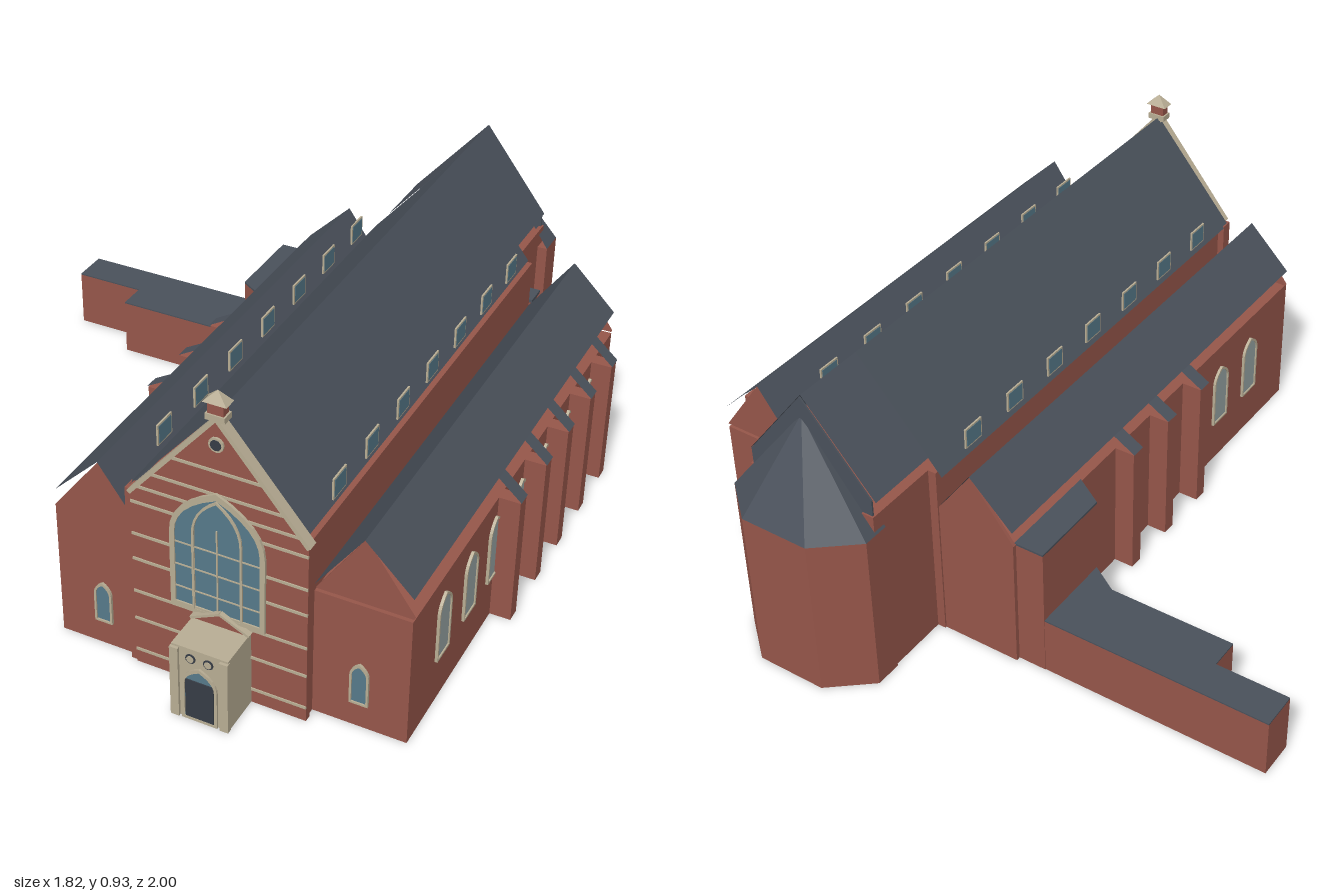
import * as THREE from 'three';

const mat = (color) => new THREE.MeshStandardMaterial({ color, flatShading: true, side: THREE.DoubleSide });
const BRICK = mat(0x96564a), SLATE = mat(0x4a515b), STONE = mat(0xb8ad94);
const GLASS = mat(0x56798a), PALE = mat(0x96a3a3), DOOR = mat(0x363c45);

export function createModel() {
  const root = new THREE.Group();

  const add = (name, geo, material, parent = root) => {
    const m = new THREE.Mesh(geo, material);
    m.name = name;
    parent.add(m);
    return m;
  };
  const box = (name, x0, x1, y0, y1, z0, z1, material, parent = root) => {
    const m = add(name, new THREE.BoxGeometry(x1 - x0, y1 - y0, z1 - z0), material, parent);
    m.position.set((x0 + x1) / 2, (y0 + y1) / 2, (z0 + z1) / 2);
    return m;
  };
  const toShape = (pts) => new THREE.Shape(pts.map(([a, b]) => new THREE.Vector2(a, b)));
  const extrude = (shape, depth) => new THREE.ExtrudeGeometry(shape, { depth, bevelEnabled: false, curveSegments: 6 });
  // Slab with an outline in x, y
  const panel = (name, pts, z0, z1, material) => {
    const m = add(name, extrude(toShape(pts), z1 - z0), material);
    m.position.z = z0;
    return m;
  };
  // Block with a plan outline in x, z
  const block = (name, pts, y0, y1, material) => {
    const m = add(name, extrude(toShape(pts.map(([x, z]) => [x, -z])), y1 - y0), material);
    m.rotation.x = -Math.PI / 2;
    m.position.y = y0;
    return m;
  };
  const triangles = (points) => {
    const g = new THREE.BufferGeometry();
    g.setAttribute('position', new THREE.Float32BufferAttribute(points.flat(), 3));
    g.computeVertexNormals();
    return g;
  };
  // Thin roof sheet following an x, y profile from z0 to z1
  const sheet = (name, profile, z0, z1) => {
    const v = [];
    for (let i = 0; i + 1 < profile.length; i++) {
      const [a, b] = [profile[i], profile[i + 1]];
      v.push([...a, z0], [...a, z1], [...b, z1], [...a, z0], [...b, z1], [...b, z0]);
    }
    return add(name, triangles(v), SLATE);
  };
  const bar = (name, a, b, w, z, depth, material) => {
    const len = Math.hypot(b[0] - a[0], b[1] - a[1]);
    const m = add(name, new THREE.BoxGeometry(len, w, depth), material);
    m.position.set((a[0] + b[0]) / 2, (a[1] + b[1]) / 2, z);
    m.rotation.z = Math.atan2(b[1] - a[1], b[0] - a[0]);
  };

  // Pointed arch: w wide, h tall, curves starting at spring
  const arch = (w, h, spring, inset = 0) => {
    const s = new THREE.Shape(), r = w / 2 - inset, top = h - inset * 1.4;
    s.moveTo(-r, inset);
    s.lineTo(r, inset);
    s.lineTo(r, spring);
    s.quadraticCurveTo(r, spring + (top - spring) * 0.62, 0, top);
    s.quadraticCurveTo(-r, spring + (top - spring) * 0.62, -r, spring);
    s.closePath();
    return s;
  };
  const archWindow = (name, w, h, spring, t, glass, pos, ry = 0) => {
    const g = new THREE.Group();
    g.name = name;
    const frame = arch(w, h, spring);
    frame.holes.push(arch(w, h, spring, t));
    add('windowFrame', extrude(frame, 0.008), STONE, g);
    if (glass) add('windowGlass', extrude(arch(w, h, spring, t), 0.004), glass, g);
    g.position.set(...pos);
    g.rotation.y = ry;
    root.add(g);
  };

  // Nave walls and stepped eaves
  box('naveWalls', 0.1, 0.585, 0, 0.555, -0.63, 0.85, BRICK);
  box('choirWalls', 0.125, 0.535, 0, 0.555, -0.86, -0.63, BRICK);
  sheet('naveRoof', [[0.08, 0.55], [0.34, 0.853], [0.572, 0.56]], -0.63, 0.855);
  sheet('choirRoof', [[0.12, 0.6], [0.34, 0.853], [0.537, 0.6]], -0.85, -0.63);
  panel('choirGable', [[0.13, 0.555], [0.53, 0.555], [0.53, 0.605], [0.34, 0.85], [0.13, 0.605]], -0.855, -0.85, SLATE);
  box('choirButtress', 0.53, 0.59, 0, 0.42, -0.69, -0.63, BRICK);
  box('choirButtressCap', 0.53, 0.595, 0.42, 0.43, -0.695, -0.63, SLATE);

  // Polygonal apse
  const plan = [[0.12, -0.82], [0.12, -0.9], [0.24, -1], [0.45, -1], [0.565, -0.9], [0.565, -0.82]];
  block('apseWalls', plan, 0, 0.5, BRICK);
  const fan = [];
  for (let i = 0; i + 1 < plan.length; i++) {
    const [p, q] = [plan[i], plan[i + 1]];
    fan.push([p[0], 0.5, p[1]], [0.343, 0.79, -0.85], [q[0], 0.5, q[1]]);
  }
  add('apseRoof', triangles(fan), SLATE);

  // West front with stone bands
  panel('facade', [[0.1, 0], [0.59, 0], [0.59, 0.555], [0.345, 0.85], [0.1, 0.555]], 0.85, 0.87, BRICK);
  box('facadePier', 0.08, 0.1, 0, 0.555, 0.83, 0.865, BRICK);
  for (const y of [0.045, 0.15, 0.24, 0.345, 0.425, 0.525, 0.575, 0.625, 0.695]) {
    const half = y < 0.555 ? 0.245 : 0.245 * (0.85 - y) / 0.295;
    box('stoneBand', 0.345 - half, 0.345 + half, y - 0.004, y + 0.004, 0.868, 0.873, STONE);
  }
  for (const s of [-1, 1]) bar('gableCoping', [0.345, 0.85], [0.345 + s * 0.248, 0.553], 0.012, 0.862, 0.03, STONE);

  // Great window with tracery, and the round window above
  archWindow('greatWindow', 0.265, 0.385, 0.23, 0.014, GLASS, [0.345, 0.248, 0.872]);
  archWindow('greatWindowTracery', 0.14, 0.36, 0.24, 0.006, null, [0.345, 0.25, 0.873]);
  for (const x of [0.28, 0.345, 0.41]) box('mullion', x - 0.002, x + 0.002, 0.26, 0.52, 0.874, 0.879, STONE);
  for (const y of [0.31, 0.38, 0.45]) box('transom', 0.225, 0.465, y - 0.002, y + 0.002, 0.874, 0.878, STONE);
  const disc = (name, r, x, y, z, material) => {
    const m = add(name, new THREE.CylinderGeometry(r, r, 0.008, 12), material);
    m.rotation.x = Math.PI / 2;
    m.position.set(x, y, z);
  };
  disc('roundWindowFrame', 0.021, 0.345, 0.775, 0.872, STONE);
  disc('roundWindowGlass', 0.015, 0.345, 0.775, 0.874, DOOR);

  // Ridge turret
  box('turretBase', 0.318, 0.372, 0.845, 0.862, 0.845, 0.88, STONE);
  box('turret', 0.323, 0.367, 0.86, 0.893, 0.85, 0.876, BRICK);
  const cap = add('turretCap', new THREE.ConeGeometry(0.046, 0.032, 4).rotateY(Math.PI / 4), STONE);
  cap.position.set(0.345, 0.909, 0.862);
  cap.scale.z = 0.6;

  // Porch
  box('porch', 0.275, 0.435, 0, 0.228, 0.87, 0.992, STONE);
  for (const x of [0.285, 0.425]) box('porchPier', x - 0.012, x + 0.012, 0, 0.222, 0.985, 1, STONE);
  panel('porchGable', [[0.275, 0.228], [0.435, 0.228], [0.355, 0.265]], 0.872, 0.885, BRICK);
  for (const x of [0.272, 0.438]) bar('porchCoping', [x, 0.23], [0.355, 0.27], 0.007, 0.88, 0.02, STONE);
  archWindow('doorArch', 0.1, 0.175, 0.115, 0.008, GLASS, [0.355, 0, 0.99]);
  box('door', 0.315, 0.395, 0, 0.13, 0.99, 0.997, DOOR);
  for (const x of [0.33, 0.38]) {
    disc('porchRoundelFrame', 0.014, x, 0.198, 0.991, DOOR);
    disc('porchRoundel', 0.01, x, 0.198, 0.993, STONE);
  }

  // Aisles: s = 1 on the model's left, -1 on its right
  for (const s of [1, -1]) {
    const X = (d) => 0.353 + s * d; // distance outward from the nave axis
    const span = (a, b) => (s > 0 ? [X(a), X(b)] : [X(b), X(a)]);
    const top = s > 0 ? 0.39 : 0.412, base = s > 0 ? 0.4 : 0.412;
    const front = s > 0 ? 0.825 : 0.848;
    box('aisleWalls', ...span(0.23, 0.493), 0, top, -0.625, front, BRICK);
    for (const z of [-0.625, front - 0.01])
      panel('aisleGable', [[X(0.235), base], [X(0.495), base], [X(0.361), 0.588]], z, z + 0.01, BRICK);
    sheet('aisleRoof', [[X(0.225), 0.4], [X(0.361), 0.59], [X(0.493), 0.46]], -0.628, front);

    // Stepped buttresses with sloping caps
    const piers = s > 0 ? [-0.47, -0.29, -0.11, 0.062, 0.25] : [-0.11, 0.07, 0.25];
    for (const z of piers) {
      box('buttress', ...span(0.485, 0.553), 0, top, z - 0.021, z + 0.021, BRICK);
      sheet('buttressCap', [[X(0.485), 0.455], [X(0.556), top + 0.002]], z - 0.022, z + 0.022);
    }
    // Lancets along the side
    const lancets = [0.625, 0.45, 0.285, 0.1, -0.08, -0.26, -0.44].slice(0, s > 0 ? 7 : 5);
    for (const z of lancets)
      archWindow('aisleWindow', 0.08, 0.2, 0.145, 0.006, PALE, [X(0.493), 0.14, z], s * Math.PI / 2);
    archWindow('aisleFrontWindow', 0.052, 0.13, 0.09, 0.006, GLASS, [X(0.361), 0.077, front]);

    // Clerestory lights standing at the foot of the nave roof
    for (let i = 0; i < 7; i++) {
      const z = 0.665 - i * 0.192;
      const x0 = s > 0 ? 0.568 : 0.078;
      box('clerestoryFrame', x0, x0 + 0.005, 0.575, 0.637, z - 0.036, z + 0.036, STONE);
      box('clerestoryGlass', x0 - 0.001, x0 + 0.006, 0.58, 0.632, z - 0.031, z + 0.031, GLASS);
    }
  }
  box('rearSlitWindow', 0.73, 0.75, 0.12, 0.28, -0.63, -0.624, GLASS);

  // Low side wing and its taller link to the aisle
  const wing = [[-0.91, -0.61], [-0.91, -0.5], [-0.69, -0.5], [-0.69, -0.41], [-0.31, -0.41], [-0.135, -0.3], [-0.135, -0.61]];
  block('wingWalls', wing, 0, 0.177, BRICK);
  block('wingRoof', wing, 0.177, 0.181, SLATE);
  const link = [[-0.225, -0.612], [-0.225, -0.355], [-0.135, -0.298], [-0.135, -0.612]];
  block('linkWalls', link, 0, 0.408, BRICK);
  block('linkRoof', link, 0.408, 0.414, SLATE);

  return root;
}
